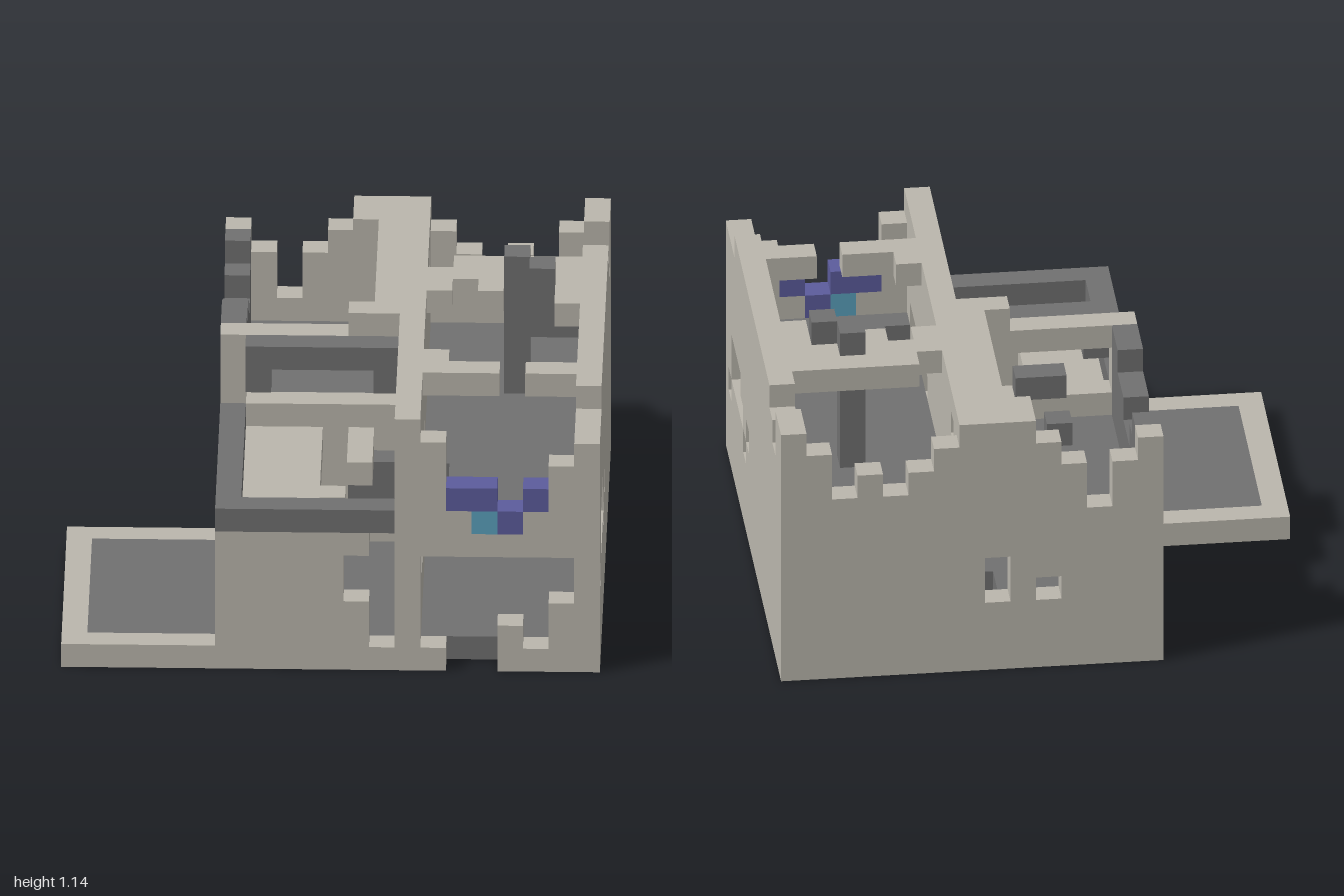
import * as THREE from 'three';
import { mergeGeometries } from 'three/addons/utils/BufferGeometryUtils.js';

const NX = 21, NY = 12, NZ = 19, S = 2 / NX;

export function createModel() {
  const group = new THREE.Group();
  const mat = (name, color) => {
    const m = new THREE.MeshStandardMaterial({ color });
    m.name = name;
    return m;
  };
  const concrete = mat('concrete', 0xbab6ac), slate = mat('dark slate', 0x707070);
  const blue = mat('blue awning', 0x5c5c9c), teal = mat('teal awning', 0x5aa0bc);
  const colours = {
    foundationRim: concrete, groundFloor: slate, outerWalls: concrete, innerWalls: concrete,
    upperFloor: slate, wingRoof: concrete, wingParapet: slate, brokenUpperWall: slate,
    darkBeam: slate, ceilingRemains: concrete, brokenTower: slate, rubble: slate,
    blueAwning: blue, tealAwning: teal,
  };

  // Block grid: ranges are half-open cell indices
  const cells = new Map();
  const key = (x, y, z) => `${x},${y},${z}`;
  const each = (x0, x1, y0, y1, z0, z1, fn) => {
    for (let x = x0; x < x1; x++) for (let y = y0; y < y1; y++) for (let z = z0; z < z1; z++) fn(key(x, y, z));
  };
  const fill = (part, ...r) => each(...r, k => cells.set(k, part));
  const clear = (...r) => each(...r, k => cells.delete(k));

  // Foundation: concrete rim round an L-shaped dark floor
  fill('foundationRim', 0, 21, 0, 1, 9, 19);
  fill('foundationRim', 6, 21, 0, 1, 0, 9);
  fill('groundFloor', 1, 20, 0, 1, 10, 18);
  fill('groundFloor', 7, 20, 0, 1, 1, 10);

  // Right wall with broken top and holes
  fill('outerWalls', 20, 21, 1, 11, 0, 19);
  clear(20, 21, 10, 11, 16, 19);
  clear(20, 21, 10, 11, 2, 4);
  clear(20, 21, 9, 10, 2, 3);
  clear(20, 21, 4, 6, 14, 17);
  clear(20, 21, 4, 5, 13, 14);
  clear(20, 21, 4, 5, 11, 12);
  clear(20, 21, 3, 4, 12, 13);
  clear(20, 21, 3, 4, 17, 18);

  // Back wall, crumbled to a different height in each column
  [10, 9, 7, 9, 10, 11, 11, 11, 10, 9, 8, 9, 8, 10, 11].forEach((h, i) =>
    fill('outerWalls', 6 + i, 7 + i, 1, h, 0, 1));
  clear(12, 13, 3, 5, 0, 1);
  clear(10, 11, 3, 4, 0, 1);

  // Front wall: low wing on one side, main block with a doorway on the other
  fill('outerWalls', 6, 13, 1, 6, 18, 19);
  clear(11, 13, 3, 5, 18, 19);
  clear(12, 13, 1, 6, 18, 19);
  [11, 10, 7, 6, 6, 7, 9, 10].forEach((h, i) =>
    fill('outerWalls', 13 + i, 14 + i, 1, h, 18, 19));
  clear(14, 19, 1, 5, 18, 19);
  clear(19, 20, 3, 5, 18, 19);
  clear(15, 17, 0, 1, 18, 19);
  fill('outerWalls', 17, 18, 1, 2, 18, 19);

  // Left wall: lower storey with openings, dark broken upper storey
  fill('outerWalls', 6, 7, 1, 6, 1, 18);
  clear(6, 7, 1, 5, 10, 17);
  clear(6, 7, 1, 5, 5, 9);
  [10, 9, 8, 8, 9, 9, 10, 10].forEach((h, i) =>
    fill('brokenUpperWall', 6, 7, 6, h, 1 + i, 2 + i));

  // Inner walls: long divider and cross wall
  fill('innerWalls', 13, 14, 1, 11, 1, 18);
  clear(13, 14, 3, 7, 11, 17);
  clear(13, 14, 9, 10, 2, 3);
  fill('innerWalls', 6, 11, 1, 10, 9, 10);
  fill('innerWalls', 11, 13, 1, 11, 9, 10);
  clear(7, 13, 7, 9, 9, 10);

  // Upper floors
  fill('upperFloor', 7, 13, 5, 6, 1, 9);
  fill('upperFloor', 14, 20, 5, 6, 1, 18);
  clear(14, 15, 5, 6, 13, 17);

  // Wing roof with a ragged hole, and its parapet
  fill('wingRoof', 7, 10, 5, 6, 10, 18);
  fill('wingRoof', 10, 11, 5, 6, 15, 16);
  fill('wingRoof', 10, 12, 5, 6, 17, 18);
  fill('wingRoof', 11, 12, 5, 6, 10, 13);
  fill('wingParapet', 6, 7, 6, 7, 10, 19);
  fill('wingParapet', 7, 13, 6, 7, 18, 19);

  // Dark beam along the cross wall
  fill('darkBeam', 7, 13, 9, 10, 10, 11);
  fill('darkBeam', 7, 8, 8, 9, 10, 11);
  fill('darkBeam', 12, 13, 8, 9, 10, 11);

  // Remains of the ceiling along the wall tops
  fill('ceilingRemains', 11, 13, 10, 11, 0, 2);
  fill('ceilingRemains', 12, 13, 10, 11, 1, 9);
  fill('ceilingRemains', 15, 20, 10, 11, 5, 6);
  fill('ceilingRemains', 14, 20, 10, 11, 6, 7);
  fill('ceilingRemains', 14, 15, 10, 11, 7, 8);
  fill('ceilingRemains', 16, 17, 10, 11, 7, 8);
  fill('ceilingRemains', 19, 20, 10, 11, 7, 9);
  fill('ceilingRemains', 14, 17, 10, 11, 14, 15);
  fill('ceilingRemains', 14, 15, 10, 11, 13, 14);
  fill('ceilingRemains', 18, 20, 10, 11, 14, 15);

  // Broken tower
  fill('brokenTower', 17, 18, 6, 12, 6, 7);
  fill('brokenTower', 18, 19, 9, 12, 7, 8);
  fill('brokenTower', 19, 20, 9, 10, 7, 8);

  // Loose rubble in the rooms
  fill('rubble', 9, 11, 8, 9, 7, 8);
  fill('rubble', 9, 10, 7, 8, 5, 6);
  fill('rubble', 11, 13, 3, 5, 10, 11);
  fill('rubble', 12, 13, 2, 3, 10, 11);
  fill('rubble', 14, 16, 3, 4, 8, 9);
  fill('rubble', 16, 18, 4, 5, 8, 9);
  fill('rubble', 19, 20, 3, 5, 8, 9);

  // Awning blocks in the front wall
  fill('blueAwning', 15, 17, 7, 8, 18, 19);
  fill('blueAwning', 18, 19, 7, 8, 18, 19);
  fill('blueAwning', 17, 18, 6, 7, 18, 19);
  fill('tealAwning', 16, 17, 6, 7, 18, 19);

  // Holes through the ground floor
  clear(12, 16, 0, 1, 4, 6);
  clear(13, 15, 0, 1, 6, 7);
  clear(6, 8, 0, 1, 5, 9);
  clear(8, 9, 0, 1, 7, 9);
  fill('groundFloor', 6, 7, 0, 1, 4, 5);

  // Turn exposed cell sides into faces, grouped by part
  const faceDirs = [
    [1, 0, 0, 0, Math.PI / 2], [-1, 0, 0, 0, -Math.PI / 2], [0, 1, 0, -Math.PI / 2, 0],
    [0, -1, 0, Math.PI / 2, 0], [0, 0, 1, 0, 0], [0, 0, -1, 0, Math.PI],
  ].map(([x, y, z, rx, ry]) => ({
    x, y, z,
    geo: new THREE.PlaneGeometry(S, S).rotateX(rx).rotateY(ry).translate(x * S / 2, y * S / 2, z * S / 2),
  }));
  const faces = {};
  for (const [k, part] of cells) {
    const [x, y, z] = k.split(',').map(Number);
    for (const d of faceDirs) {
      if (cells.has(key(x + d.x, y + d.y, z + d.z))) continue;
      (faces[part] ??= []).push(d.geo.clone().translate(
        (x + 0.5 - NX / 2) * S, (y + 0.5) * S, (z + 0.5 - NZ / 2) * S));
    }
  }
  for (const part in faces) {
    const mesh = new THREE.Mesh(mergeGeometries(faces[part]), colours[part]);
    mesh.name = part;
    group.add(mesh);
  }
  return group;
}
